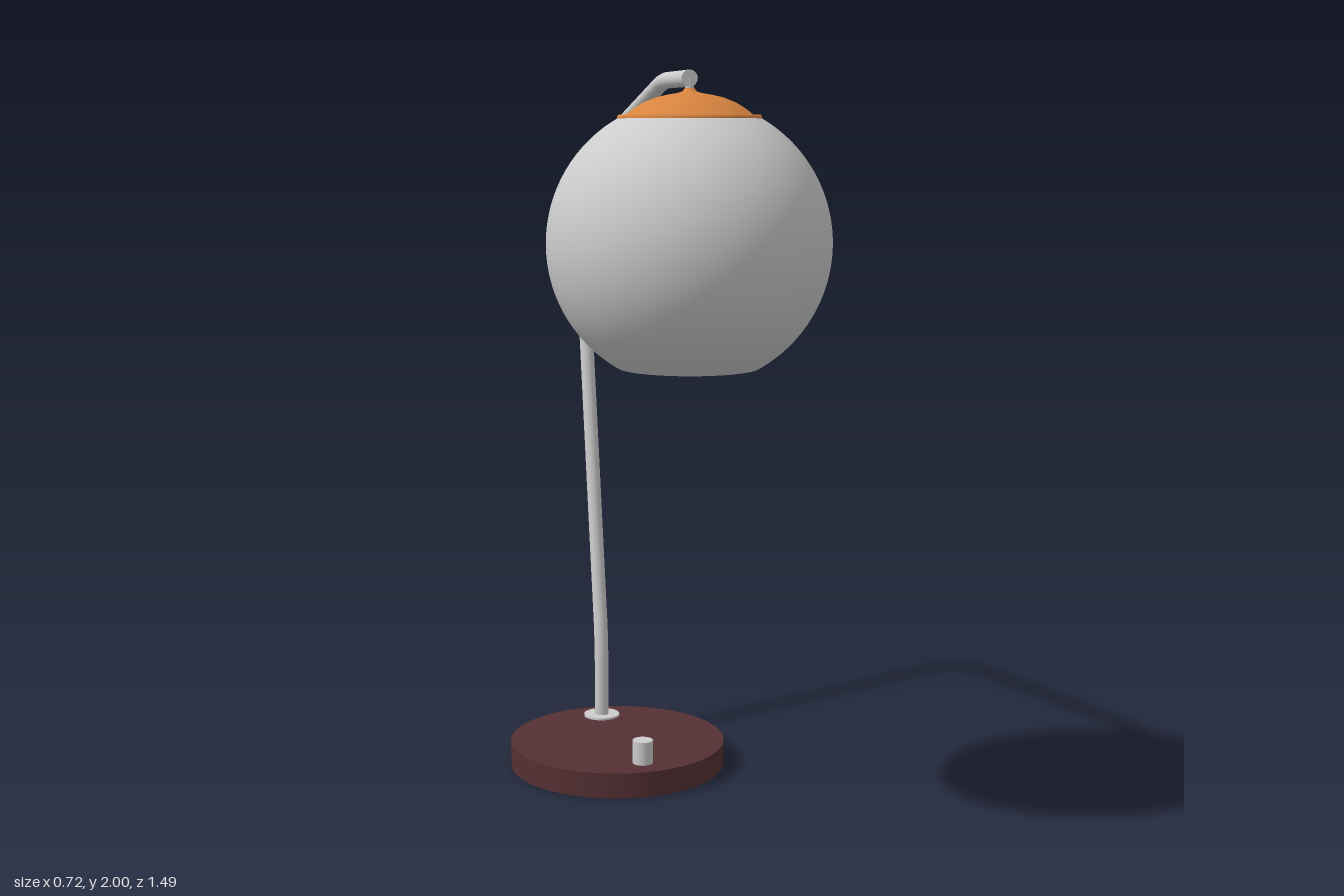
import * as THREE from 'three';

const grey = new THREE.MeshStandardMaterial({ color: 0xcccccc });
const greyOpen = new THREE.MeshStandardMaterial({ color: 0xcccccc, side: THREE.DoubleSide });
const copper = new THREE.MeshStandardMaterial({ color: 0xd8843f, side: THREE.DoubleSide });
const maroon = new THREE.MeshStandardMaterial({ color: 0x553033 });

const SHADE_Z = 0.385, SHADE_Y = 1.57, SHADE_R = 0.36;

function add(group, name, geometry, material, x = 0, y = 0, z = 0) {
  const mesh = new THREE.Mesh(geometry, material);
  mesh.name = name;
  mesh.position.set(x, y, z);
  group.add(mesh);
  return mesh;
}

// Upright cylinder standing on height y
function disc(group, name, r, h, material, x, y, z, segments = 32) {
  return add(group, name, new THREE.CylinderGeometry(r, r, h, segments), material, x, y + h / 2, z);
}

// Straight runs joined by round corners; corners are [z, y, trim length]
function filletedPath(corners) {
  const path = new THREE.CurvePath();
  const pts = corners.map(([z, y]) => new THREE.Vector3(0, y, z));
  const toward = (a, b, d) => b.clone().sub(a).setLength(d).add(a);
  let from = pts[0];
  for (let i = 1; i < pts.length - 1; i++) {
    const trim = corners[i][2];
    const a = toward(pts[i], pts[i - 1], trim);
    const b = toward(pts[i], pts[i + 1], trim);
    path.add(new THREE.LineCurve3(from, a));
    path.add(new THREE.CubicBezierCurve3(
      a, a.clone().lerp(pts[i], 0.57), b.clone().lerp(pts[i], 0.57), b));
    from = b;
  }
  path.add(new THREE.LineCurve3(from, pts[pts.length - 1]));
  return path;
}

export function createModel() {
  const lamp = new THREE.Group();
  lamp.name = 'deskLamp';

  // Round base with stem collar and switch knob
  disc(lamp, 'base', 0.315, 0.073, maroon, -0.015, 0, -0.262, 96);
  disc(lamp, 'stemCollar', 0.054, 0.006, grey, -0.003, 0.073, -0.49, 48);
  disc(lamp, 'switchKnob', 0.029, 0.067, grey, -0.003, 0.073, -0.03);

  // Bent tubular arm, closed at the free end
  const path = filletedPath([
    [-0.49, 0.07], [-0.49, 0.31, 0.07], [-0.75, 1.732, 0.165], [0.17, 1.98, 0.04], [0.395, 1.98],
  ]);
  add(lamp, 'arm', new THREE.TubeGeometry(path, 200, 0.021, 20), grey, -0.003);
  add(lamp, 'armEnd', new THREE.CircleGeometry(0.021, 20), grey, -0.003, 1.98, 0.395);

  // Globe shade, open at the bottom and under the cap
  const opening = Math.asin(0.5);
  add(lamp, 'globeShade',
    new THREE.SphereGeometry(SHADE_R, 96, 64, 0, Math.PI * 2, opening, Math.PI - 2 * opening),
    greyOpen, 0, SHADE_Y, SHADE_Z);

  // Domed cap with a raised lip and a groove inside it
  const capProfile = [
    [0.18, 1.878], [0.181, 1.885], [0.177, 1.891], [0.171, 1.891], [0.166, 1.886],
    [0.16, 1.89], [0.14, 1.906], [0.115, 1.921], [0.085, 1.933], [0.055, 1.94],
    [0.03, 1.944], [0.018, 1.948], [0.012, 1.956],
  ].map(([r, y]) => new THREE.Vector2(r, y));
  add(lamp, 'shadeCap', new THREE.LatheGeometry(capProfile, 64), copper, 0, 0, SHADE_Z);
  disc(lamp, 'capStem', 0.011, 0.04, grey, 0, 1.94, SHADE_Z, 20);

  // Bulb inside the globe, hanging from its socket
  add(lamp, 'bulb', new THREE.SphereGeometry(0.18, 40, 28), grey, 0, 1.5, SHADE_Z);
  disc(lamp, 'bulbSocket', 0.06, 0.25, grey, 0, 1.66, SHADE_Z);

  return lamp;
}
